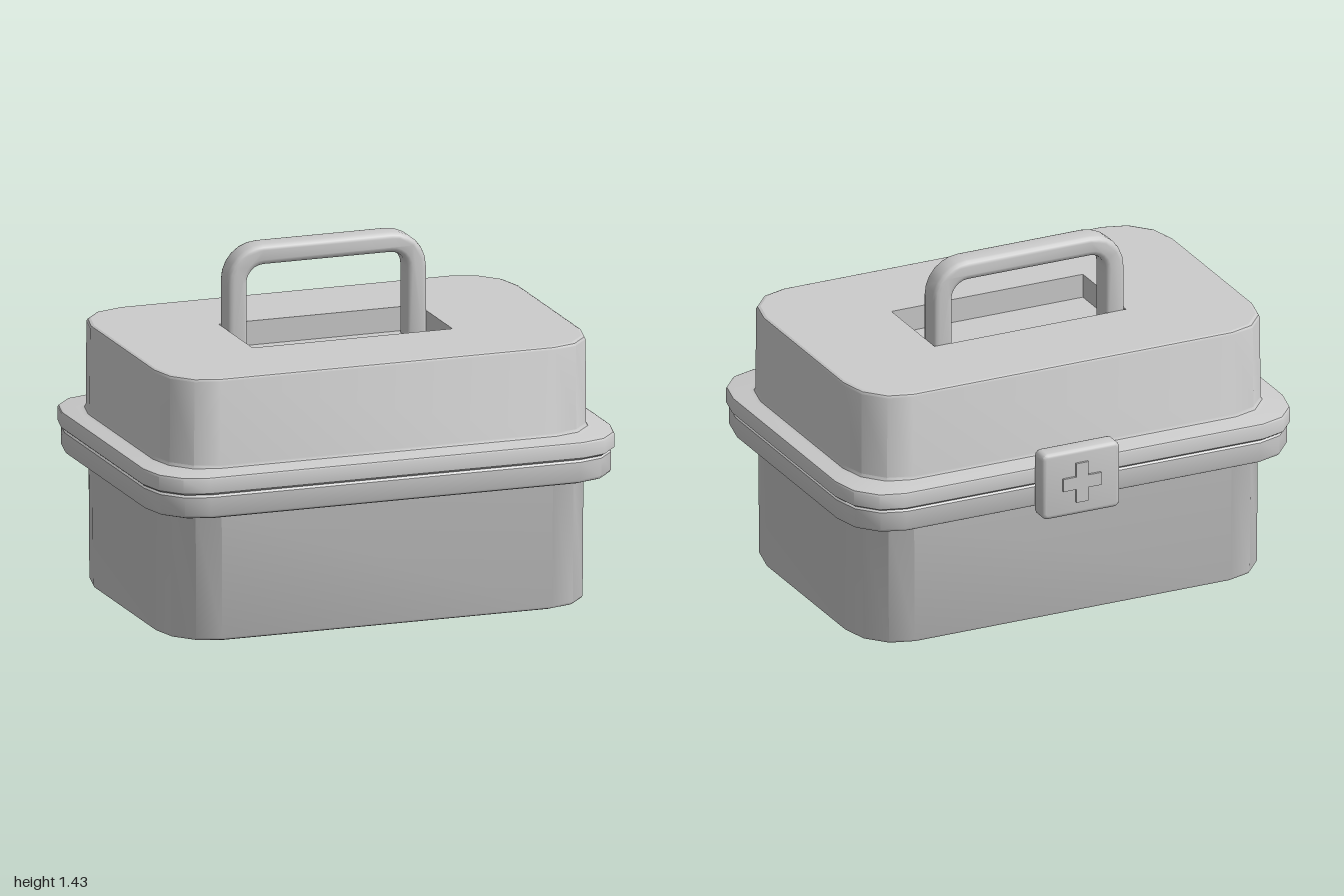
import * as THREE from 'three';
import { toCreasedNormals } from 'three/addons/utils/BufferGeometryUtils.js';

const CREASE = 0.62;
const CENTER_Z = 0.045;
const material = new THREE.MeshStandardMaterial({ color: 0xcccccc });

function part(name, geometry) {
  const mesh = new THREE.Mesh(toCreasedNormals(geometry, CREASE), material);
  mesh.name = name;
  return mesh;
}

// Rectangle with three-sided elliptical corners, counterclockwise in (x, z)
function outline(hx, hz, rx = 0.2, rz = 0.23) {
  const points = [];
  const corners = [[1, 1], [-1, 1], [-1, -1], [1, -1]];
  corners.forEach(([sx, sz], q) => {
    for (let i = 0; i <= 3; i++) {
      const a = (q + i / 3) * Math.PI / 2;
      points.push(new THREE.Vector2(
        sx * (hx - rx) + Math.cos(a) * rx,
        sz * (hz - rz) + Math.sin(a) * rz));
    }
  });
  return points;
}

// Skin between outlines stacked along y
function loft(rings) {
  const n = rings[0].points.length;
  const positions = [], index = [];
  for (const { points, y } of rings) for (const p of points) positions.push(p.x, y, p.y);
  for (let i = 0; i < rings.length - 1; i++) {
    for (let j = 0; j < n; j++) {
      const a = i * n + j, b = i * n + (j + 1) % n;
      index.push(a, a + n, b + n, a, b + n, b);
    }
  }
  const geometry = new THREE.BufferGeometry();
  geometry.setAttribute('position', new THREE.Float32BufferAttribute(positions, 3));
  geometry.setIndex(index);
  return geometry;
}

// Flat horizontal face, optionally with a hole
function cap(points, y, up = true, hole = null) {
  const s = up ? -1 : 1;
  const flip = (list) => list.map((p) => new THREE.Vector2(p.x, s * p.y));
  const shape = new THREE.Shape(flip(points));
  if (hole) shape.holes.push(new THREE.Path(flip(hole)));
  return new THREE.ShapeGeometry(shape).rotateX(s * Math.PI / 2).translate(0, y, 0);
}

// Each profile row is [half width, half depth, height]
const toRings = (profile) => profile.map(([hx, hz, y]) => ({ points: outline(hx, hz), y }));

// Extrusion whose outer size includes its rounded edge
function rounded(shape, depth, bevel) {
  return new THREE.ExtrudeGeometry(shape, {
    depth: depth - 2 * bevel, bevelEnabled: true, bevelThickness: bevel, bevelSize: bevel,
    bevelOffset: -bevel, bevelSegments: 3, curveSegments: 3,
  }).translate(0, 0, bevel);
}

function createModel() {
  const model = new THREE.Group();
  model.name = 'carryBox';

  // Lower tub with its projecting rim
  const base = new THREE.Group();
  base.name = 'base';
  const baseRings = toRings([
    [0.892, 0.577, 0], [0.901, 0.586, 0.004], [0.905, 0.59, 0.013],
    [0.908, 0.592, 0.53], [0.912, 0.596, 0.538],
    [0.975, 0.676, 0.538], [0.985, 0.686, 0.543], [0.99, 0.69, 0.553],
    [0.99, 0.69, 0.627], [0.982, 0.682, 0.636], [0.95, 0.65, 0.637],
  ]);
  base.add(part('tub', loft(baseRings)), part('tubFloor', cap(baseRings[0].points, 0, false)));

  // Lid with flange, fillet and a sunken handle well
  const lid = new THREE.Group();
  lid.name = 'lid';
  const lidRings = toRings([
    [0.95, 0.65, 0.637], [0.99, 0.69, 0.638], [1, 0.7, 0.647],
    [1, 0.7, 0.703], [0.997, 0.697, 0.71], [0.99, 0.69, 0.713],
    [0.935, 0.617, 0.715], [0.922, 0.604, 0.72], [0.917, 0.599, 0.732],
    [0.915, 0.597, 1.077], [0.911, 0.593, 1.086], [0.902, 0.584, 1.09],
  ]);
  const well = [[0.427, 0.19], [-0.427, 0.19], [-0.427, -0.203], [0.427, -0.203]]
    .map(([x, z]) => new THREE.Vector2(x, z));
  const floorY = 0.99;
  lid.add(
    part('lidShell', loft(lidRings)),
    part('lidTop', cap(lidRings.at(-1).points, 1.09, true, well)),
    part('wellWalls', loft([{ points: well, y: 1.09 }, { points: well, y: floorY }])),
    part('wellFloor', cap(well, floorY)));

  base.position.z = lid.position.z = CENTER_Z;
  model.add(base, lid);

  // Arched carrying handle standing at the back of the well
  const arch = new THREE.Shape();
  const out = 0.425, inn = 0.342, top = 1.43, under = 1.347;
  arch.moveTo(-out, floorY);
  arch.lineTo(-inn, floorY);
  arch.lineTo(-inn, under - 0.07);
  arch.absarc(-inn + 0.07, under - 0.07, 0.07, Math.PI, Math.PI / 2, true);
  arch.lineTo(inn - 0.07, under);
  arch.absarc(inn - 0.07, under - 0.07, 0.07, Math.PI / 2, 0, true);
  arch.lineTo(inn, floorY);
  arch.lineTo(out, floorY);
  arch.lineTo(out, top - 0.15);
  arch.absarc(out - 0.15, top - 0.15, 0.15, 0, Math.PI / 2, false);
  arch.lineTo(-out + 0.15, top);
  arch.absarc(-out + 0.15, top - 0.15, 0.15, Math.PI / 2, Math.PI, false);
  const handle = part('handle', rounded(arch, 0.108, 0.022));
  handle.position.z = -0.155;
  model.add(handle);

  // Rear latch plate with a raised plus
  const latch = new THREE.Group();
  latch.name = 'latch';
  const plate = new THREE.Shape(outline(0.173, 0.142, 0.025, 0.025));
  latch.add(part('latchPlate', rounded(plate, 0.083, 0.016)));
  const a = 0.027, b = 0.085;
  const plus = new THREE.Shape([
    [a, a], [a, b], [-a, b], [-a, a], [-b, a], [-b, -a],
    [-a, -a], [-a, -b], [a, -b], [a, -a], [b, -a], [b, a],
  ].map(([x, y]) => new THREE.Vector2(x, y)));
  const raisedPlus = part('raisedPlus',
    new THREE.ExtrudeGeometry(plus, { depth: 0.02, bevelEnabled: false }));
  raisedPlus.position.z = 0.073;
  latch.add(raisedPlus);
  latch.rotation.y = Math.PI;
  latch.position.set(0.053, 0.654, -0.652);
  model.add(latch);

  return model;
}

export { createModel };
